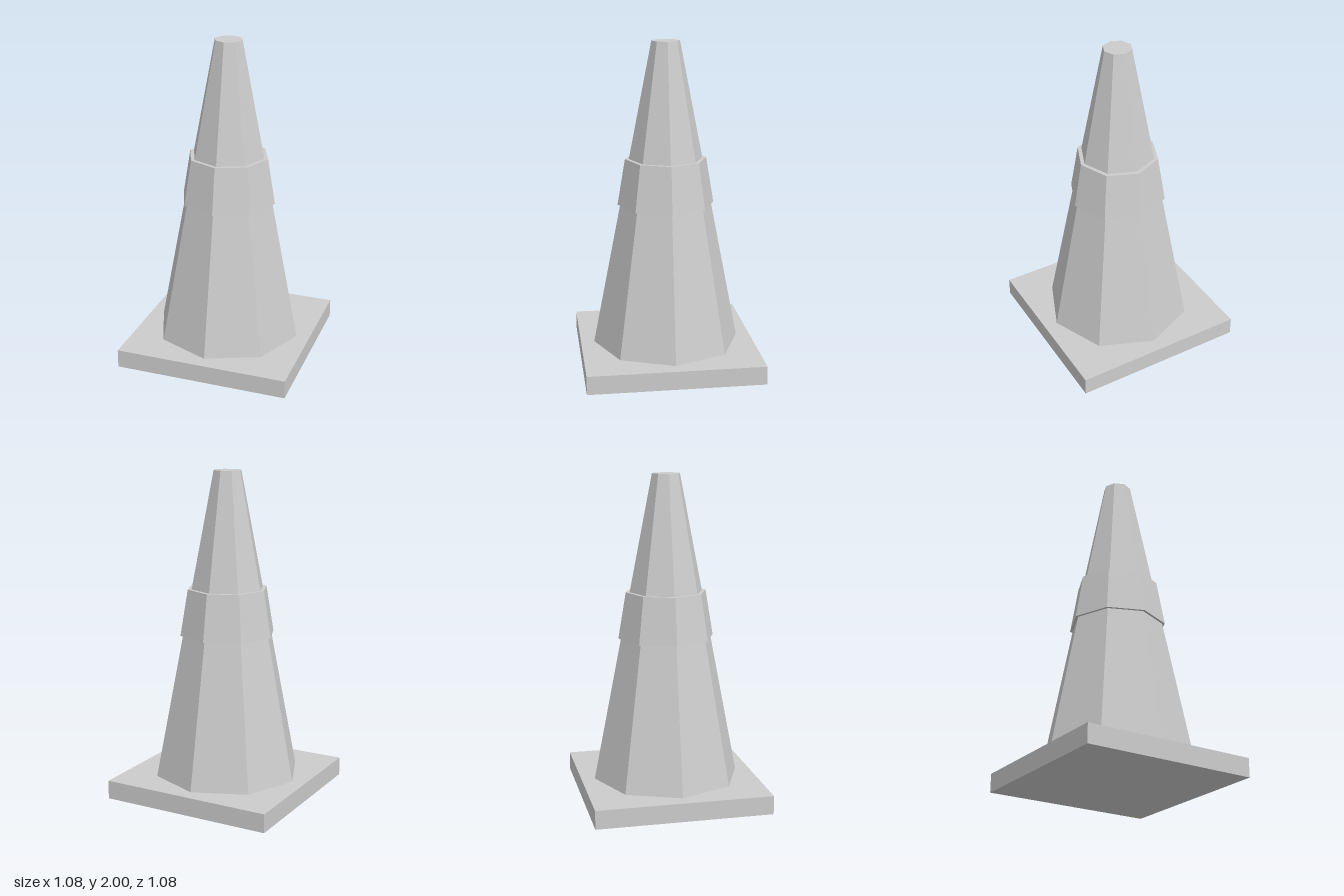
import * as THREE from 'three';

const SIDES = 8;

export function createModel() {
  const group = new THREE.Group();
  const grey = new THREE.MeshStandardMaterial({ color: 0xcccccc, flatShading: true });
  grey.name = 'light grey';

  const add = (name, geometry, y) => {
    const mesh = new THREE.Mesh(geometry, grey);
    mesh.name = name;
    mesh.position.y = y;
    group.add(mesh);
  };
  // Tapered octagonal section spanning two heights
  const taper = (name, rTop, rBottom, y0, y1) =>
    add(name, new THREE.CylinderGeometry(rTop, rBottom, y1 - y0, SIDES), (y0 + y1) / 2);

  // Square foot plate
  const baseHeight = 0.115;
  add('base', new THREE.BoxGeometry(1.08, baseHeight, 1.08), baseHeight / 2);

  // Cone body and the raised band around it
  taper('coneBody', 0.086, 0.456, baseHeight, 2);
  taper('band', 0.25, 0.298, 1.003, 1.287);

  return group;
}
